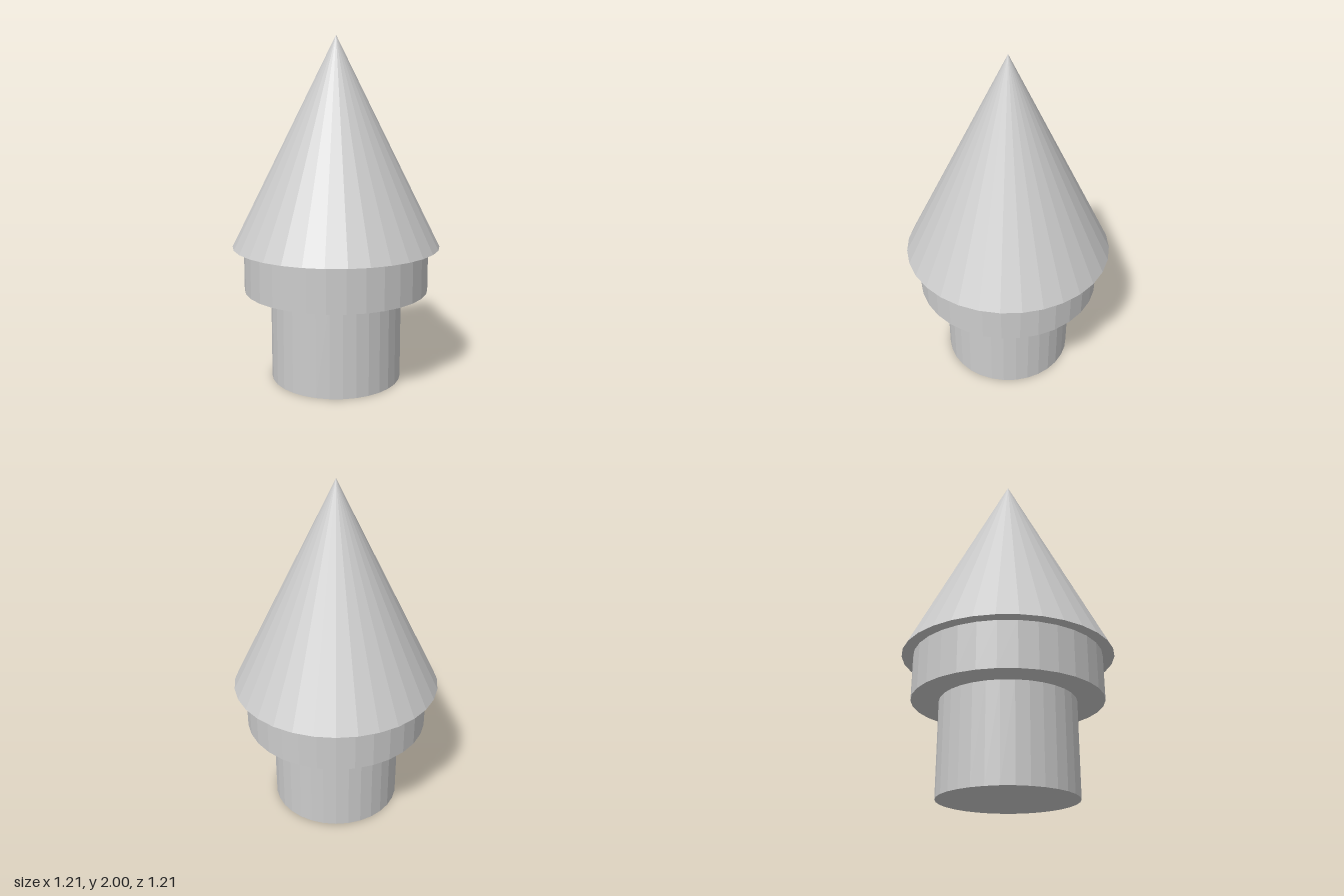
import * as THREE from 'three';

const SIDES = 32;

export function createModel() {
  const model = new THREE.Group();
  const material = new THREE.MeshStandardMaterial({ color: 0xcccccc, flatShading: true });

  // Adds a round part standing between two heights
  function addPart(name, topRadius, bottomRadius, bottom, top) {
    const height = top - bottom;
    const geometry = topRadius === 0
      ? new THREE.ConeGeometry(bottomRadius, height, SIDES)
      : new THREE.CylinderGeometry(topRadius, bottomRadius, height, SIDES);
    const mesh = new THREE.Mesh(geometry, material);
    mesh.name = name;
    mesh.position.y = (bottom + top) / 2;
    model.add(mesh);
  }

  addPart('shaft', 0.385, 0.385, 0, 0.535);
  addPart('collar', 0.54, 0.54, 0.535, 0.795);
  addPart('coneTip', 0, 0.605, 0.795, 2);

  return model;
}
